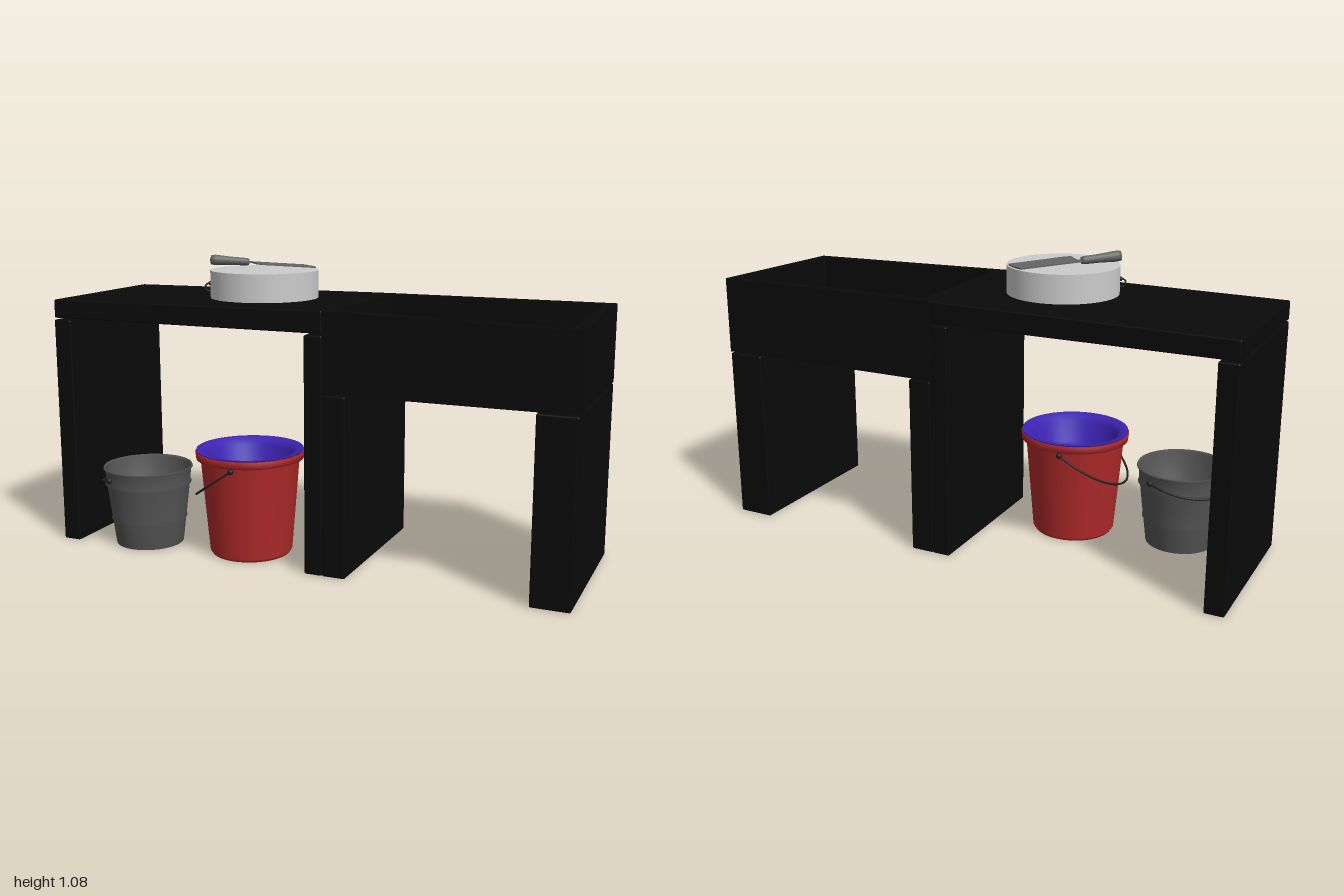
import * as THREE from 'three';
import { RoundedBoxGeometry } from 'three/addons/geometries/RoundedBoxGeometry.js';

const mat = (color, side = THREE.FrontSide) => new THREE.MeshStandardMaterial({ color, side });
const black = mat(0x0a0a0a);
const steel = mat(0x666666);
const wire = mat(0x222222);
const stone = mat(0xcccccc);

function add(parent, name, geometry, material, x = 0, y = 0, z = 0) {
  const mesh = new THREE.Mesh(geometry, material);
  mesh.name = name;
  mesh.position.set(x, y, z);
  parent.add(mesh);
  return mesh;
}

// Box given by its extents along the counter and in height
function block(parent, name, x0, x1, y0, y1, depth = 0.618) {
  const g = new RoundedBoxGeometry(x1 - x0, y1 - y0, depth, 2, 0.006);
  return add(parent, name, g, black, (x0 + x1) / 2, (y0 + y1) / 2, 0);
}

function rect(Type, x0, x1, z0, z1) {
  const p = new Type();
  p.moveTo(x0, z0).lineTo(x1, z0).lineTo(x1, z1).lineTo(x0, z1).closePath();
  return p;
}

function extrudeUp(shape, height) {
  return new THREE.ExtrudeGeometry(shape, { depth: height, bevelEnabled: false }).rotateX(-Math.PI / 2);
}

function lathe(points, segments = 40) {
  return new THREE.LatheGeometry(points.map(([r, y]) => new THREE.Vector2(r, y)), segments);
}

function buildCounter() {
  const g = new THREE.Group();
  g.name = 'counter';
  g.rotation.y = -0.505;

  // Worktop, with its outer end slightly worn down
  const top = block(g, 'worktop', -0.971, 0.104, 0.85, 0.928, 0.614);
  const tp = top.geometry.attributes.position;
  for (let i = 0; i < tp.count; i++) {
    if (tp.getY(i) > 0 && tp.getX(i) < 0) tp.setY(i, tp.getY(i) - 0.01);
  }

  // Legs
  block(g, 'worktopOuterLeg', -0.971, -0.901, 0, 0.844);
  block(g, 'worktopInnerLeg', 0.038, 0.105, 0, 0.844);
  block(g, 'sinkInnerLeg', 0.105, 0.19, 0, 0.642);
  block(g, 'sinkOuterLeg', 0.834, 0.971, 0, 0.642);

  // Hollow sink box, its front outer corner a little lower
  const rim = rect(THREE.Shape, 0.107, 0.971, -0.309, 0.309);
  rim.holes.push(rect(THREE.Path, 0.147, 0.931, -0.269, 0.269));
  const walls = extrudeUp(rim, 0.28);
  const p = walls.attributes.position;
  for (let i = 0; i < p.count; i++) {
    if (p.getY(i) > 0.2 && p.getX(i) > 0.9 && p.getZ(i) > 0.2) p.setY(i, 0.264);
  }
  walls.computeVertexNormals();
  add(g, 'sinkWalls', walls, black, 0, 0.647, 0);
  add(g, 'sinkFloor', new THREE.BoxGeometry(0.79, 0.023, 0.545), black, 0.539, 0.6585, 0);

  // Drain through the sink floor
  const ring = add(g, 'drainRing', new THREE.TorusGeometry(0.037, 0.008, 10, 32), stone, 0.551, 0.672, 0.004);
  ring.rotation.x = Math.PI / 2;
  add(g, 'drainGrate', new THREE.CylinderGeometry(0.036, 0.036, 0.03, 24), steel, 0.551, 0.659, 0.004);
  for (const x of [-0.016, 0, 0.016]) {
    add(g, 'drainSlot', new THREE.BoxGeometry(0.006, 0.002, 0.04), wire, 0.551 + x, 0.675, 0.004);
  }
  return g;
}

// Chopping block with a hanging ring on its side
function buildChoppingBlock() {
  const g = new THREE.Group();
  g.name = 'choppingBlock';
  g.position.set(-0.225, 0.93, -0.1);
  add(g, 'blockBody', new THREE.CylinderGeometry(0.197, 0.197, 0.1, 64), stone, 0, 0.05, 0);
  const hook = add(g, 'hangingRing', new THREE.TorusGeometry(0.014, 0.003, 8, 20), wire, -0.202, 0.036, -0.02);
  hook.rotation.z = -0.5;
  add(g, 'ringStud', new THREE.SphereGeometry(0.008, 12, 8), wire, -0.197, 0.05, -0.02);
  return g;
}

// Cleaver resting on the block
function buildCleaver() {
  const g = new THREE.Group();
  g.name = 'cleaver';
  g.position.set(-0.28, 1.053, -0.165);
  g.rotation.set(0, 0.19, -0.08);
  const s = new THREE.Shape();
  s.moveTo(-0.01, 0.012).lineTo(0.01, 0.014).lineTo(0.215, 0.014);
  s.quadraticCurveTo(0.235, -0.035, 0.235, -0.085);
  s.lineTo(0.03, -0.09).lineTo(0.012, -0.08).lineTo(0.01, -0.012).lineTo(-0.01, -0.012);
  add(g, 'blade', extrudeUp(s, 0.005), steel, 0, -0.003, 0);
  const handle = add(g, 'handle', lathe([[0, 0], [0.012, 0], [0.014, 0.01], [0.015, 0.06],
    [0.019, 0.125], [0.017, 0.14], [0, 0.145]], 20), steel);
  handle.rotation.z = Math.PI / 2;
  return g;
}

// Wire bail hanging down around one side of a bucket
function addBail(parent, radius, y, drop, heading) {
  const points = [];
  for (let i = 0; i <= 12; i++) {
    const a = (i / 12) * Math.PI;
    points.push(new THREE.Vector3(radius * Math.sin(a), y - drop * Math.sin(a), radius * Math.cos(a)));
  }
  const path = new THREE.CatmullRomCurve3(points);
  add(parent, 'bail', new THREE.TubeGeometry(path, 40, 0.004, 6), wire).rotation.y = heading;
  for (const side of [0, Math.PI]) {
    const a = heading + side;
    add(parent, 'bailLug', new THREE.SphereGeometry(0.011, 10, 8), wire,
      Math.sin(a) * radius, y, Math.cos(a) * radius);
  }
}

function buildGreyBucket() {
  const g = new THREE.Group();
  g.name = 'greyBucket';
  g.position.set(-0.67, 0, -0.14);
  const shell = [[0, 0.012], [0.115, 0.012], [0.118, 0], [0.126, 0.002], [0.137, 0.092], [0.142, 0.098],
    [0.139, 0.104], [0.154, 0.225], [0.161, 0.231], [0.156, 0.237], [0.16, 0.285], [0.167, 0.291],
    [0.164, 0.298], [0.157, 0.29], [0.12, 0.02], [0, 0.02]];
  add(g, 'bucketShell', lathe(shell), mat(0x555555, THREE.DoubleSide));
  addBail(g, 0.17, 0.265, 0.04, 2.2);
  return g;
}

function buildRedBucket() {
  const g = new THREE.Group();
  g.name = 'redBucket';
  g.position.set(-0.29, 0, 0.01);
  const shell = [[0, 0.006], [0.138, 0.006], [0.144, 0], [0.152, 0.012], [0.181, 0.355], [0.197, 0.358],
    [0.2, 0.382], [0.19, 0.386], [0.182, 0.37], [0.15, 0.02], [0, 0.02]];
  add(g, 'bucketShell', lathe(shell, 48), mat(0xb02a2a, THREE.DoubleSide));
  // Blue basin nested in the bucket
  const basin = [[0, 0.27], [0.12, 0.27], [0.14, 0.285], [0.16, 0.36], [0.172, 0.378], [0.196, 0.386],
    [0.196, 0.391], [0.17, 0.385], [0.155, 0.365], [0.135, 0.292], [0.118, 0.278], [0, 0.278]];
  add(g, 'basin', lathe(basin, 48), mat(0x3d24b4, THREE.DoubleSide));
  addBail(g, 0.2, 0.35, 0.14, 2.75);
  return g;
}

export function createModel() {
  const model = new THREE.Group();
  model.name = 'kitchenCounter';
  model.add(buildCounter(), buildChoppingBlock(), buildCleaver(), buildGreyBucket(), buildRedBucket());
  return model;
}
